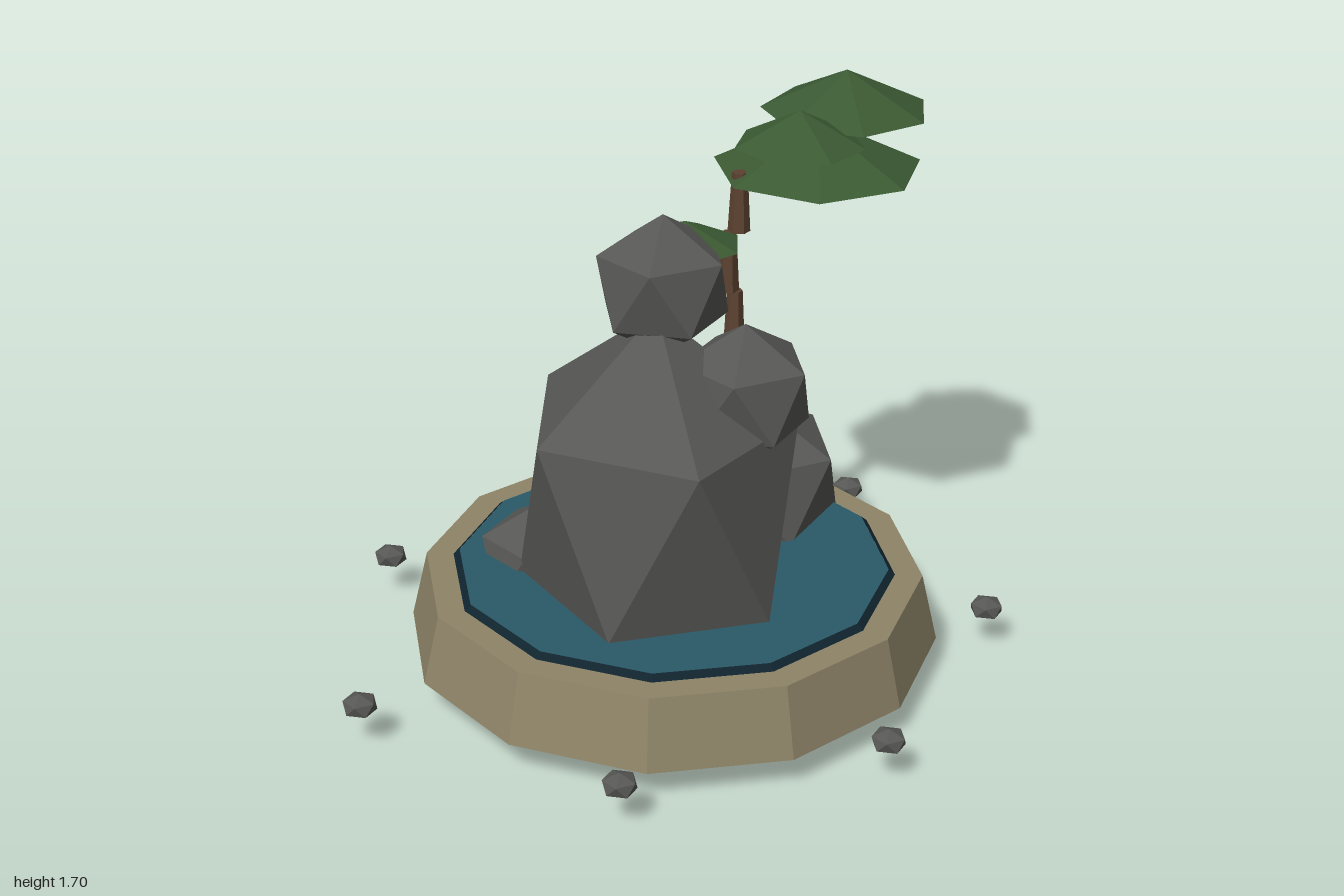
import * as THREE from 'three';

const flat = (name, color, extra = {}) => {
  const m = new THREE.MeshStandardMaterial({ color, flatShading: true, ...extra });
  m.name = name;
  return m;
};

export function createModel() {
  const group = new THREE.Group();
  group.name = 'rockIslandPond';
  const stone = flat('stone grey', 0x575755);
  const sand = flat('sandstone', 0x8e8468);
  const water = flat('pond blue', 0x2a5a69);
  const dark = flat('dark water edge', 0x10242e);
  const bark = flat('bark brown', 0x5c4230);
  const leaf = flat('leaf green', 0x3b5a33);

  const add = (name, geometry, material, x, y, z, yaw = 0) => {
    const mesh = new THREE.Mesh(geometry, material);
    mesh.name = name;
    mesh.position.set(x, y, z);
    mesh.rotation.y = THREE.MathUtils.degToRad(yaw);
    group.add(mesh);
    return mesh;
  };

  // Icosahedron standing on a vertex; yaw turns one upper corner towards that bearing from +z
  const rock = (name, [x, y, z], [rx, ry, rz], yaw) => {
    const g = new THREE.IcosahedronGeometry(1, 0);
    g.rotateZ(Math.atan(2 / (1 + Math.sqrt(5))));
    g.rotateY(THREE.MathUtils.degToRad(yaw + 90));
    g.scale(rx, ry, rz);
    return add(name, g, stone, x, y, z);
  };

  // Twelve-sided basin, dark edge and water surface
  const cx = 0.06, cz = 0.01;
  add('basin', new THREE.CylinderGeometry(0.74, 0.79, 0.21, 12), sand, cx, 0.205, cz);
  add('waterEdge', new THREE.CylinderGeometry(0.64, 0.66, 0.018, 12, 1, true), dark, cx, 0.318, cz);
  add('water', new THREE.CircleGeometry(0.64, 12).rotateX(-Math.PI / 2), water, cx, 0.3265, cz);

  // Stacked boulders
  rock('mainBoulder', [-0.02, 0.584, 0.07], [0.445, 0.584, 0.475], -9.5);
  rock('topBoulder', [0.035, 1.21, -0.01], [0.21, 0.21, 0.21], 180);
  rock('shoulderBoulder', [0.205, 0.922, 0.175], [0.21, 0.208, 0.21], 180);
  rock('sideBoulder', [0.43, 0.425, -0.21], [0.3, 0.265, 0.3], 180);
  rock('backBoulder', [-0.27, 0.29, -0.23], [0.19, 0.18, 0.19], 180);

  // Pebbles scattered around the basin
  [[0.19, -0.87], [-0.59, -0.69], [0.94, -0.5], [-0.95, 0.09],
    [0.945, 0.36], [-0.44, 0.75], [0.32, 0.865]].forEach(([x, z], i) =>
    rock('pebble' + (i + 1), [x, 0.133, z], [0.054, 0.036, 0.054], 180));

  // Crooked trunk of tapered segments
  [[0.328, 0.99, 0.2], [0.305, 1.185, 0.18], [0.338, 1.365, 0.18]].forEach(([x, y, h], i) =>
    add('trunkSegment' + (i + 1), new THREE.CylinderGeometry(0.023, 0.033, h, 6), bark, x, y, -0.14));

  // Flat seven-sided leaf canopies: x, base height, z, radius, height, yaw
  [[0.595, 1.43, -0.15, 0.31, 0.14, 24.5], [0.7, 1.58, -0.18, 0.25, 0.12, -17],
    [0.47, 1.555, -0.03, 0.19, 0.1, 0], [0.13, 1.295, -0.065, 0.165, 0.07, -13]]
    .forEach(([x, y, z, r, h, yaw], i) =>
      add('canopy' + (i + 1), new THREE.ConeGeometry(r, h, 7), leaf, x, y + h / 2, z, yaw));

  return group;
}
